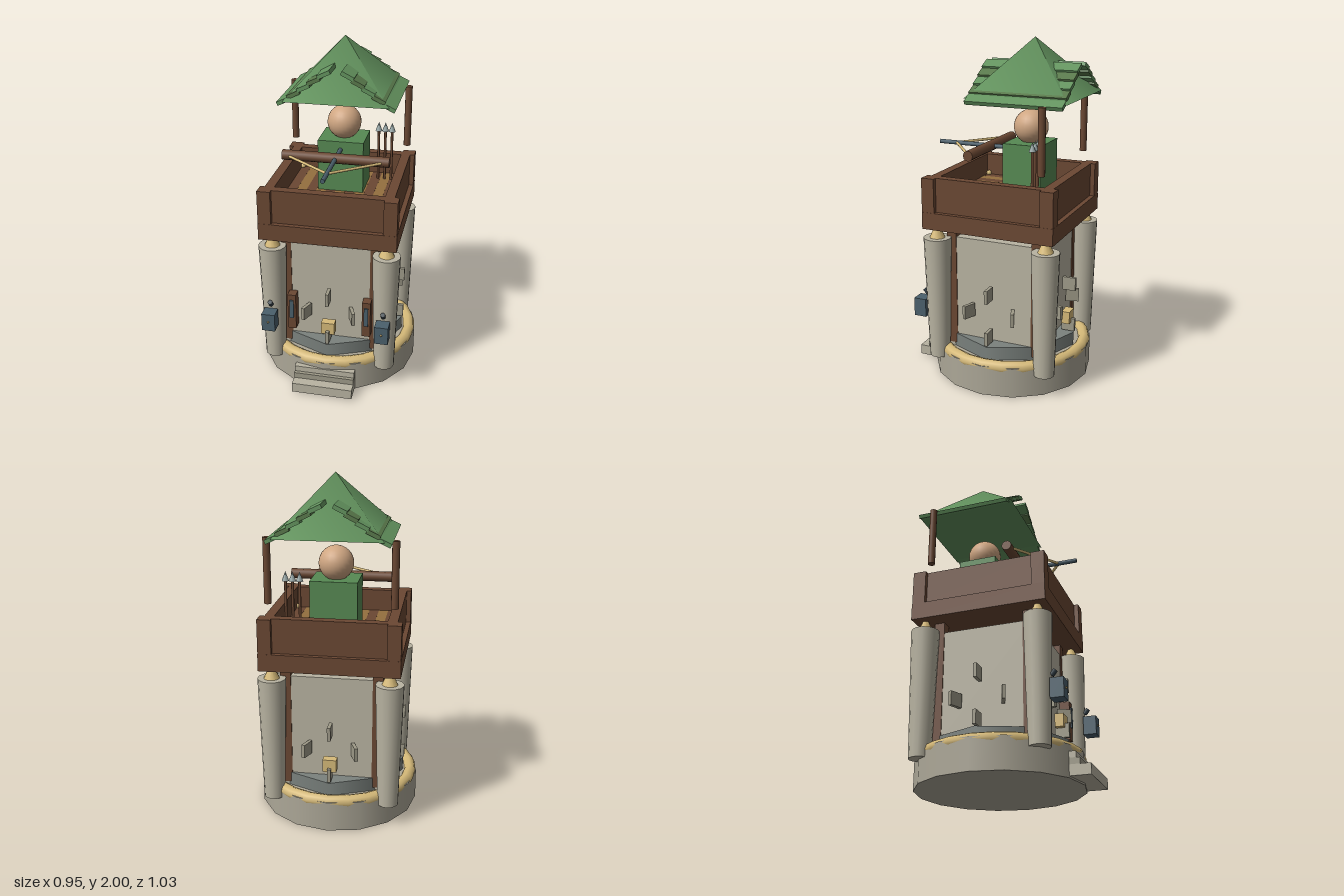
import * as THREE from 'three';

const mat = (color) => new THREE.MeshStandardMaterial({ color });
const STONE = mat(0xb9b4a2), BASE = mat(0xaca797), BLOCK = mat(0x9f9b89), SLATE = mat(0x7b827e), GOLD = mat(0xd6ba79);
const WOOD = mat(0x6b4833), PLANK = mat(0x94703f), IRON = mat(0x4b606c), DARK = mat(0x35424a);
const GREEN = mat(0x64945f), GREEN2 = mat(0x5a7a4c), CLOTH = mat(0x578a53), SKIN = mat(0xcfa682), STEEL = mat(0x9aa9a9);

export function createModel() {
  const model = new THREE.Group();
  // everything in the tower is centred on its own axis, slightly behind the origin
  const tower = new THREE.Group();
  tower.name = 'tower';
  tower.position.z = -0.038;
  model.add(tower);

  const add = (name, geo, material, x, y, z) => {
    const m = new THREE.Mesh(geo, material);
    m.name = name;
    m.position.set(x, y, z);
    tower.add(m);
    return m;
  };
  const box = (name, material, w, h, d, x, y, z) => add(name, new THREE.BoxGeometry(w, h, d), material, x, y, z);
  const cyl = (name, material, rTop, rBottom, h, sides, x, y, z) =>
    add(name, new THREE.CylinderGeometry(rTop, rBottom, h, sides), material, x, y, z);
  // round rod between two points
  const rod = (name, material, r, a, b) => {
    const from = new THREE.Vector3(...a), to = new THREE.Vector3(...b);
    const dir = to.clone().sub(from);
    const m = cyl(name, material, r, r, dir.length(), 10, 0, 0, 0);
    m.position.copy(from).add(to).multiplyScalar(0.5);
    m.quaternion.setFromUnitVectors(new THREE.Vector3(0, 1, 0), dir.normalize());
    return m;
  };
  const corners = [[1, 1], [-1, 1], [-1, -1], [1, -1]];

  // base, rim and steps
  cyl('base', BASE, 0.477, 0.477, 0.18, 16, 0, 0.09, 0);
  add('baseRim', new THREE.TorusGeometry(0.439, 0.037, 8, 24), GOLD, 0, 0.172, 0).rotation.x = Math.PI / 2;
  box('lowerStep', STONE, 0.36, 0.06, 0.2, 0, 0.04, 0.458);
  box('middleStep', BLOCK, 0.36, 0.035, 0.16, 0, 0.0875, 0.42);
  box('upperStep', STONE, 0.36, 0.035, 0.14, 0, 0.1225, 0.41);

  // square tower core on its footing
  cyl('footing', SLATE, 0.395, 0.395, 0.09, 8, 0, 0.215, 0);
  box('towerWall', STONE, 0.58, 0.69, 0.58, 0, 0.525, 0);

  // stones sticking out radially around the core, in three rows
  [[0.31, 4, 0], [0.44, 8, 0.5], [0.57, 4, 0]].forEach(([y, count, offset]) => {
    for (let i = 0; i < count; i++) {
      const a = (i + offset) * Math.PI * 2 / count;
      box('wallStone', BLOCK, 0.08, 0.08, 0.02, 0.362 * Math.cos(a), y, 0.362 * Math.sin(a)).rotation.y = -a;
    }
  });
  for (const s of [1, -1]) box('goldStone', GOLD, 0.08, 0.075, 0.05, 0, 0.3625, s * 0.355);

  // shutters beside the front pillars
  for (const s of [1, -1]) {
    box('shutterFrame', WOOD, 0.05, 0.23, 0.06, s * 0.225, 0.435, 0.32);
    box('shutterSlot', IRON, 0.025, 0.12, 0.06, s * 0.225, 0.455, 0.328);
  }

  // corner pillars, caps, wooden supports and floor studs
  for (const [sx, sz] of corners) {
    cyl('pillar', STONE, 0.081, 0.061, 0.74, 14, sx * 0.335, 0.5, sz * 0.335);
    add('pillarCap', new THREE.ConeGeometry(0.045, 0.1, 12), GOLD, sx * 0.335, 0.92, sz * 0.335);
    box('supportPost', WOOD, 0.06, 0.74, 0.06, sx * 0.265, 0.57, sz * 0.265);
    add('floorStud', new THREE.SphereGeometry(0.016, 10, 8), GOLD, sx * 0.305, 1.11, sz * 0.3);
  }

  // lanterns in front of the pillars
  for (const s of [1, -1]) {
    const x = s * 0.335;
    box('lantern', IRON, 0.08, 0.11, 0.076, x, 0.425, 0.443);
    rod('lanternHook', DARK, 0.014, [x, 0.507, 0.405], [x, 0.535, 0.428]);
    add('lanternStud', new THREE.ConeGeometry(0.008, 0.014, 8), GOLD, x, 0.43, 0.486).rotation.x = Math.PI / 2;
  }

  // platform: slab, railing walls, corner blocks and planks
  box('platformSlab', WOOD, 0.796, 0.1, 0.796, 0, 0.98, 0);
  for (const s of [1, -1]) {
    box('railing', WOOD, 0.74, 0.2, 0.055, 0, 1.13, s * 0.3425);
    box('railing', WOOD, 0.055, 0.2, 0.74, s * 0.3425, 1.13, 0);
  }
  for (const [sx, sz] of corners) box('railingCorner', WOOD, 0.077, 0.2, 0.077, sx * 0.3585, 1.13, sz * 0.3585);
  for (let i = 0; i < 11; i++) {
    box('floorPlank', i % 2 ? PLANK : WOOD, 0.057, 0.02, 0.63, (i - 5) * 0.0573, 1.09, 0);
  }

  // guard
  box('guardBody', CLOTH, 0.27, 0.31, 0.23, 0, 1.255, -0.105);
  add('guardHead', new THREE.SphereGeometry(0.1, 24, 16), SKIN, 0, 1.495, -0.11);

  // crossbow
  const bowY = 1.36;
  rod('bowArm', WOOD, 0.03, [-0.31, bowY, 0.145], [0.31, bowY, 0.145]);
  rod('bowBolt', IRON, 0.013, [0, bowY, -0.02], [0, bowY, 0.48]);
  for (const s of [1, -1]) rod('bowString', GOLD, 0.008, [s * 0.275, bowY, 0.16], [0, bowY, 0.37]);

  // spare bolts standing at the back
  for (const x of [0.188, 0.228, 0.268]) {
    cyl('spareBolt', WOOD, 0.008, 0.008, 0.32, 8, x, 1.25, -0.225);
    add('spareBoltTip', new THREE.ConeGeometry(0.021, 0.055, 8), STEEL, x, 1.437, -0.225);
  }

  // roof: two rear posts, pyramid and sloping slats
  for (const s of [1, -1]) cyl('roofPost', WOOD, 0.021, 0.021, 0.37, 12, s * 0.35, 1.485, -0.31);
  const roofZ = -0.13;
  add('roof', new THREE.ConeGeometry(0.3 * Math.SQRT2, 0.32, 4).rotateY(Math.PI / 4), GREEN, 0, 1.84, roofZ);
  for (const s of [1, -1]) {
    for (let i = 0; i < 5; i++) {
      const slat = box('roofSlat', i % 2 ? GREEN2 : GREEN, 0.078, 0.023, 0.567,
        s * (0.066 + i * 0.058), 1.842 - i * 0.041, roofZ - 0.002);
      slat.rotation.z = -s * 0.45;
    }
  }
  return model;
}
